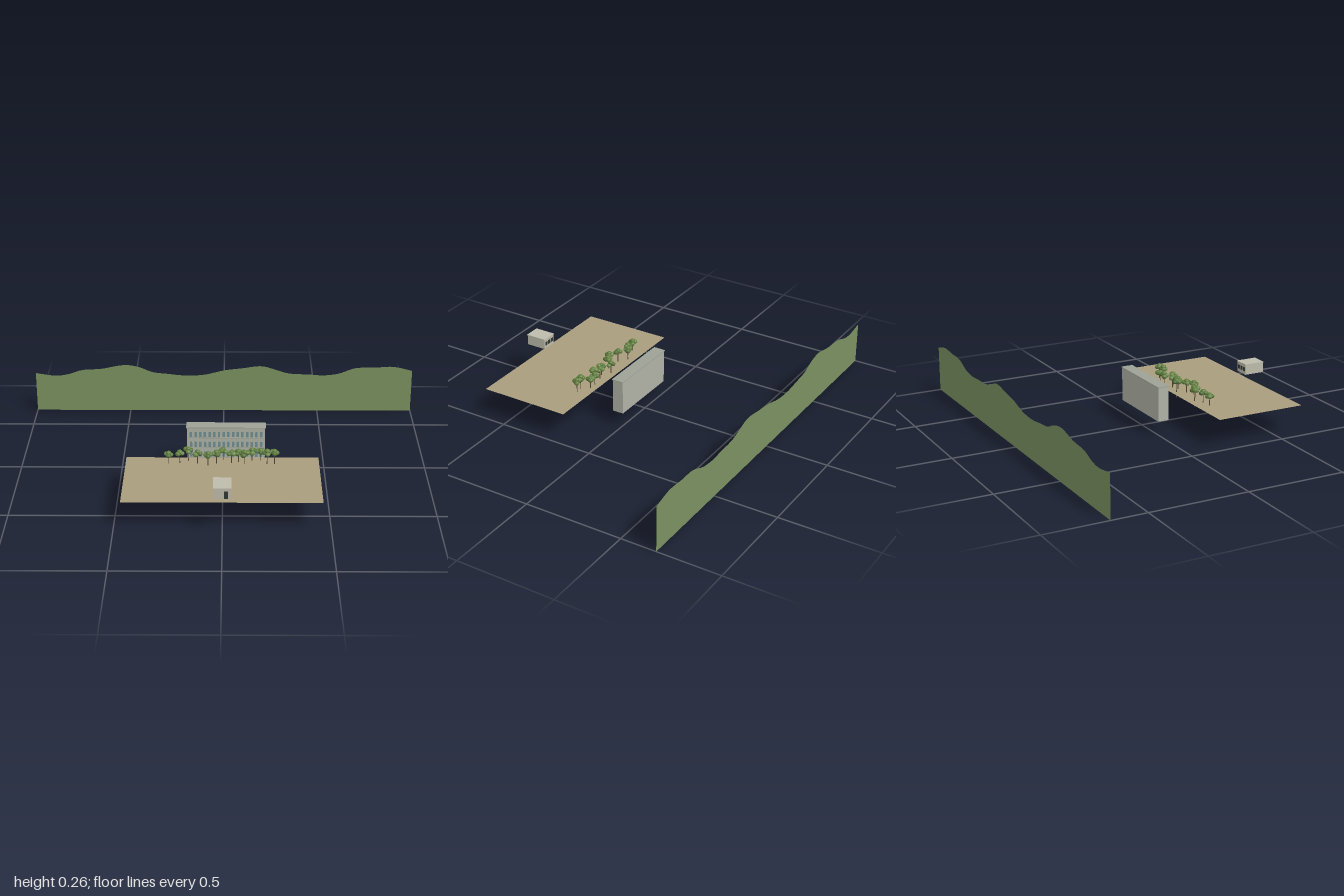
import * as THREE from 'three';

const mat = (color, extra = {}) => {
  const m = new THREE.MeshStandardMaterial({ color, flatShading: true, ...extra });
  return m;
};
const hillMat = mat(0x7a9160, { side: THREE.DoubleSide });
const groundMat = mat(0xa89c7c, { side: THREE.DoubleSide });
const wallMat = mat(0xb0b3a6);
const hutMat = mat(0xbdbcab);
const trimMat = mat(0x9ea295);
const glassMat = mat(0x6f8f94);
const darkMat = mat(0x333833);
const trunkMat = mat(0x54483a);
const leafMats = [mat(0x62803f), mat(0x55733a), mat(0x6d8a4b)];

function add(parent, name, geometry, material, x = 0, y = 0, z = 0) {
  const mesh = new THREE.Mesh(geometry, material);
  mesh.name = name;
  mesh.position.set(x, y, z);
  parent.add(mesh);
  return mesh;
}

// small seeded generator for foliage variation
function seeded(seed) {
  return () => {
    seed = (seed * 16807) % 2147483647;
    return seed / 2147483647;
  };
}

// flat upright backdrop with a rolling skyline
function makeHills() {
  const ridge = [
    [-1, 0.215], [-0.9, 0.2], [-0.83, 0.208], [-0.75, 0.233], [-0.65, 0.24], [-0.53, 0.262],
    [-0.45, 0.25], [-0.38, 0.222], [-0.3, 0.212], [-0.2, 0.202], [-0.1, 0.208], [0, 0.232],
    [0.1, 0.245], [0.2, 0.257], [0.28, 0.235], [0.35, 0.215], [0.45, 0.21], [0.53, 0.205],
    [0.61, 0.215], [0.7, 0.247], [0.8, 0.25], [0.9, 0.255], [1, 0.232],
  ].map(([x, y]) => new THREE.Vector2(x, y));
  const shape = new THREE.Shape();
  shape.moveTo(-1, 0);
  shape.lineTo(-1, ridge[0].y);
  shape.splineThru(ridge.slice(1));
  shape.lineTo(1, 0);
  shape.closePath();
  return new THREE.ShapeGeometry(shape, 4);
}

// long block with three rows of windows on the front
function makeBuilding() {
  const g = new THREE.Group();
  g.name = 'building';
  add(g, 'buildingBody', new THREE.BoxGeometry(0.38, 0.172, 0.056), wallMat, 0.015, 0.156, 0.026);
  add(g, 'roofSlab', new THREE.BoxGeometry(0.388, 0.004, 0.062), trimMat, 0.015, 0.243, 0.026);
  const pane = new THREE.BoxGeometry(0.012, 0.028, 0.002);
  const ledge = new THREE.BoxGeometry(0.37, 0.003, 0.003);
  const cols = 16;
  for (const y of [0.101, 0.154, 0.207]) {
    for (let i = 0; i < cols; i++) {
      const x = 0.015 + (i - (cols - 1) / 2) * 0.0228;
      add(g, 'buildingWindow', pane, glassMat, x, y, 0.0545);
    }
    add(g, 'windowLedge', ledge, trimMat, 0.015, y - 0.018, 0.055);
  }
  return g;
}

// little cabin with a door on the front and windows on the back
function makeHut() {
  const g = new THREE.Group();
  g.name = 'hut';
  add(g, 'hutBody', new THREE.BoxGeometry(0.078, 0.05, 0.104), hutMat, 0, 0.21, 0.626);
  add(g, 'hutRoof', new THREE.BoxGeometry(0.082, 0.005, 0.108), hutMat, 0, 0.2375, 0.626);
  add(g, 'hutDoor', new THREE.BoxGeometry(0.018, 0.036, 0.002), darkMat, 0.018, 0.204, 0.678);
  for (const x of [-0.024, 0, 0.024]) {
    add(g, 'hutWindow', new THREE.BoxGeometry(0.018, 0.02, 0.002), darkMat, x, 0.212, 0.574);
  }
  return g;
}

// uneven row of trees with clustered crowns on thin trunks
function makeTrees() {
  const g = new THREE.Group();
  g.name = 'treeRow';
  const rand = seeded(7);
  const trunk = new THREE.CylinderGeometry(0.0018, 0.0025, 0.075, 6);
  const leaf = new THREE.IcosahedronGeometry(1, 1);
  const spots = [
    [-0.258, 0.235], [-0.205, 0.23], [-0.165, 0.205], [-0.12, 0.235], [-0.07, 0.255],
    [-0.03, 0.236], [0.002, 0.198], [0.042, 0.228], [0.075, 0.215], [0.105, 0.235],
    [0.14, 0.203], [0.18, 0.202], [0.212, 0.238], [0.247, 0.235],
  ];
  for (const [x, z] of spots) {
    const tree = new THREE.Group();
    tree.name = 'tree';
    tree.position.set(x, 0.112, z);
    add(tree, 'trunk', trunk, trunkMat, 0, 0.0375, 0);
    const lift = 0.074 + rand() * 0.014;
    const turn = rand() * Math.PI * 2;
    for (let i = 0; i < 4; i++) {
      const a = turn + (i * Math.PI * 2) / 3;
      const r = i === 3 ? 0 : 0.012;
      const crown = add(tree, 'foliage', leaf, leafMats[i % 3],
        Math.cos(a) * r, lift + (i === 3 ? 0.009 : (rand() - 0.5) * 0.01), Math.sin(a) * r);
      const s = 0.0115 + rand() * 0.003;
      crown.scale.set(s, s * 0.85, s);
      crown.rotation.y = rand() * 3;
    }
    g.add(tree);
  }
  return g;
}

export function createModel() {
  const model = new THREE.Group();
  model.name = 'landscapeScene';
  add(model, 'hillBackdrop', makeHills(), hillMat, 0, 0, -0.68);
  const plane = new THREE.PlaneGeometry(0.925, 0.46).rotateX(-Math.PI / 2);
  add(model, 'groundPlane', plane, groundMat, -0.002, 0.14, 0.4);
  model.add(makeBuilding(), makeHut(), makeTrees());
  return model;
}
